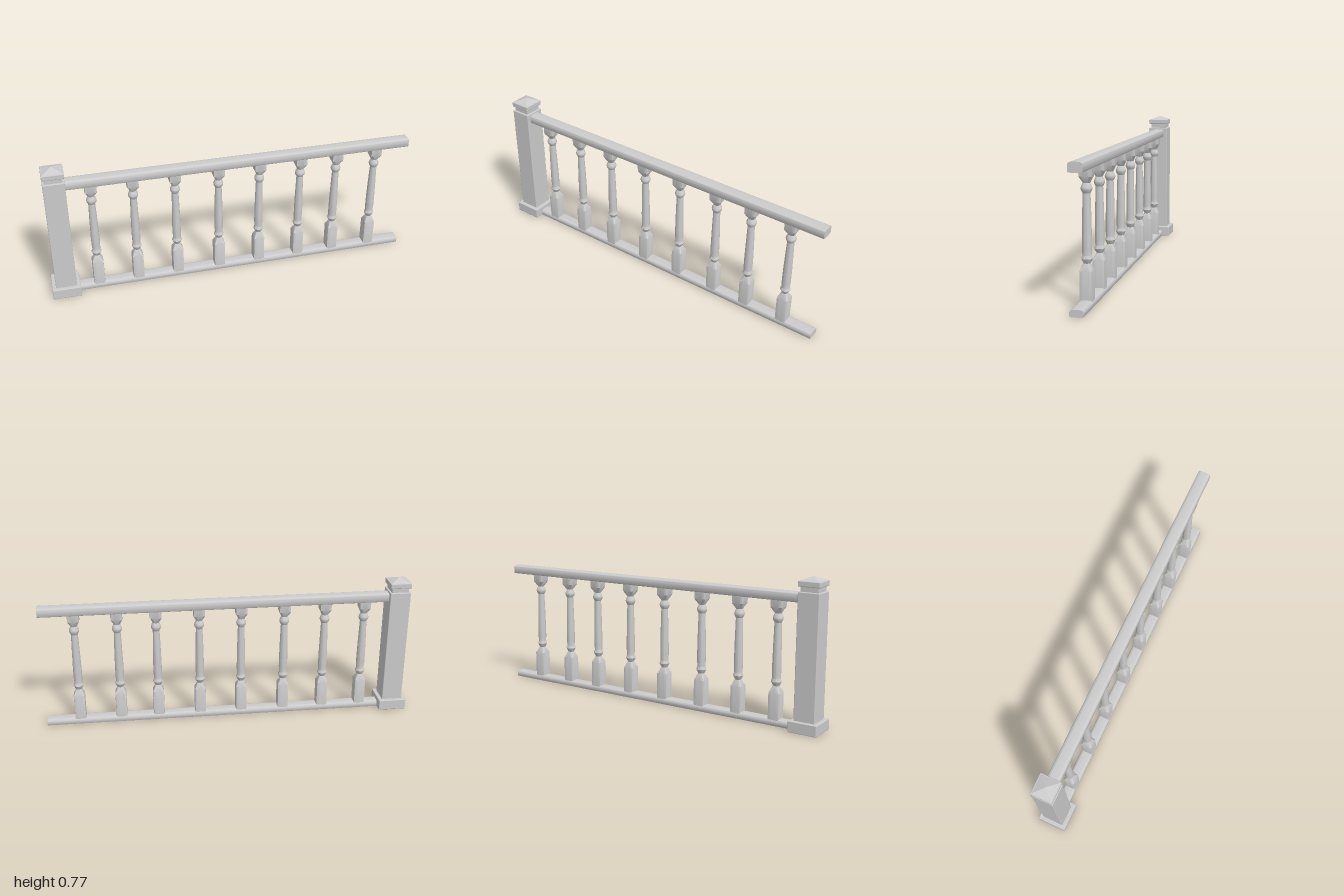
import * as THREE from 'three';
import { toCreasedNormals } from 'three/addons/utils/BufferGeometryUtils.js';
import { RoundedBoxGeometry } from 'three/addons/geometries/RoundedBoxGeometry.js';

const material = new THREE.MeshStandardMaterial({ color: 0xcccccc });
const POST_X = -0.924;

function addMesh(parent, name, geometry, x = 0, y = 0, z = 0) {
  const mesh = new THREE.Mesh(geometry, material);
  mesh.name = name;
  mesh.position.set(x, y, z);
  parent.add(mesh);
  return mesh;
}

// Turned profile whose sections go from round (0) to square (1): [radius, y, squareness]
function balusterGeometry() {
  const rows = [
    [0.03, 0.02, 1], [0.03, 0.17, 1], [0.016, 0.203, 0], [0.022, 0.214, 0],
    [0.027, 0.225, 0], [0.021, 0.24, 0], [0.023, 0.27, 0], [0.023, 0.32, 0],
    [0.021, 0.42, 0], [0.018, 0.525, 0], [0.025, 0.537, 0], [0.027, 0.547, 0],
    [0.024, 0.557, 0], [0.017, 0.571, 0], [0.031, 0.602, 1], [0.031, 0.65, 1],
  ];
  const sides = 24;
  const geo = new THREE.LatheGeometry(rows.map(([r, y]) => new THREE.Vector2(r, y)), sides);
  const pos = geo.attributes.position;
  for (let i = 0; i < pos.count; i++) {
    const [r, , square] = rows[i % rows.length];
    const x = pos.getX(i), z = pos.getZ(i);
    const toSquare = Math.min(r / Math.max(Math.abs(x), Math.abs(z)), 1.34);
    const k = 1 + square * (toSquare - 1);
    pos.setXYZ(i, x * k, pos.getY(i), z * k);
  }
  return toCreasedNormals(geo, 0.5);
}

// Rail section with a softly rounded top, extruded along x
function railGeometry(halfWidth, height, shoulder, x0, x1) {
  const w = halfWidth, b = 0.008;
  const s = new THREE.Shape();
  s.moveTo(-w + b, 0);
  s.lineTo(w - b, 0);
  s.quadraticCurveTo(w, 0, w, b);
  s.lineTo(w, shoulder);
  s.bezierCurveTo(w, height * 0.93, w * 0.7, height, w * 0.35, height);
  s.lineTo(-w * 0.35, height);
  s.bezierCurveTo(-w * 0.7, height, -w, height * 0.93, -w, shoulder);
  s.lineTo(-w, b);
  s.quadraticCurveTo(-w, 0, -w + b, 0);
  const geo = new THREE.ExtrudeGeometry(s, { depth: x1 - x0, bevelEnabled: false, curveSegments: 6 });
  geo.rotateY(Math.PI / 2);
  geo.translate(x0, 0, 0);
  return toCreasedNormals(geo, 0.7);
}

// Four-sided pyramid with faces square to the axes
function pyramidGeometry(half, height) {
  const geo = new THREE.ConeGeometry(half * Math.SQRT2, height, 4, 1);
  geo.rotateY(Math.PI / 4);
  return toCreasedNormals(geo, 0.3);
}

export function createModel() {
  const model = new THREE.Group();
  model.name = 'balustrade';

  // Newel post with plinth, neck and pointed cap
  const post = new THREE.Group();
  post.name = 'newelPost';
  post.position.x = POST_X;
  model.add(post);
  addMesh(post, 'postBase', new RoundedBoxGeometry(0.152, 0.058, 0.156, 2, 0.004), 0, 0.029);
  addMesh(post, 'postShaft', new RoundedBoxGeometry(0.112, 0.645, 0.114, 2, 0.004), 0, 0.3725);
  addMesh(post, 'postNeck', new THREE.BoxGeometry(0.092, 0.04, 0.092), 0, 0.705);
  addMesh(post, 'capSlab', new RoundedBoxGeometry(0.114, 0.028, 0.114, 2, 0.004), 0, 0.734);
  addMesh(post, 'capPeak', pyramidGeometry(0.056, 0.022), 0, 0.757);

  // Handrail and bottom rail
  addMesh(model, 'handrail', railGeometry(0.034, 0.048, 0.034, -0.9, 1), 0, 0.638, 0.001);
  addMesh(model, 'bottomRail', railGeometry(0.033, 0.035, 0.018, -0.9, 1), 0, 0, 0);

  // Turned balusters
  const balusters = new THREE.Group();
  balusters.name = 'balusters';
  model.add(balusters);
  const geo = balusterGeometry();
  for (const x of [-0.743, -0.526, -0.304, -0.069, 0.158, 0.388, 0.594, 0.818]) {
    addMesh(balusters, 'baluster', geo, x, 0, 0.001);
  }
  return model;
}
